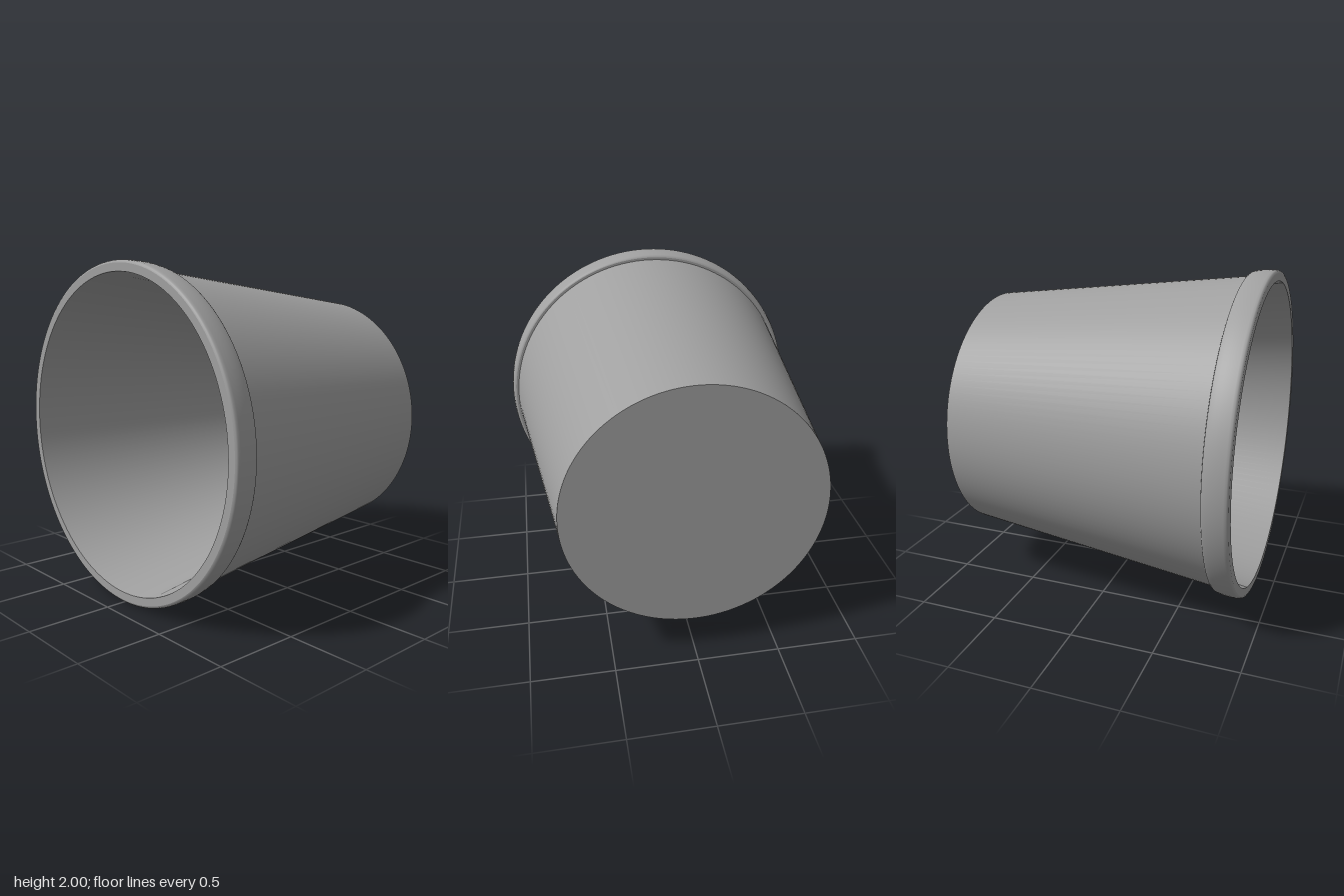
import * as THREE from 'three';

export function createModel() {
  const model = new THREE.Group();
  model.name = 'bucket';
  const grey = new THREE.MeshStandardMaterial({ color: 0xa0a0a0 });
  grey.name = 'plain grey';

  // Each part is a profile of [radius, z] turned around the z axis;
  // separate parts keep the edges between them sharp.
  const turn = (name, profile) => {
    const points = profile.map(([r, z]) => new THREE.Vector2(r, z));
    const geometry = new THREE.LatheGeometry(points, 128);
    geometry.rotateX(Math.PI / 2);
    const mesh = new THREE.Mesh(geometry, grey);
    mesh.name = name;
    mesh.position.y = 1;
    model.add(mesh);
  };

  turn('base', [[0, -0.89], [0.77, -0.89]]);
  turn('outerWall', [[0.77, -0.89], [0.96, 0.745]]);

  // Rolled lip around the mouth, rounder at its back edge
  turn('lipBack', [[0.955, 0.74], [0.975, 0.74]]);
  turn('lipBand', [
    [0.975, 0.74], [0.984, 0.744], [0.989, 0.753], [0.994, 0.775], [0.998, 0.8],
    [1, 0.83], [1, 0.865], [0.998, 0.878], [0.993, 0.886], [0.983, 0.89],
  ]);
  turn('lipFront', [[0.983, 0.89], [0.935, 0.89]]);

  // Hollow inside
  turn('innerWall', [[0.935, 0.89], [0.685, -0.87]]);
  turn('innerFloor', [[0.685, -0.87], [0, -0.87]]);

  return model;
}
